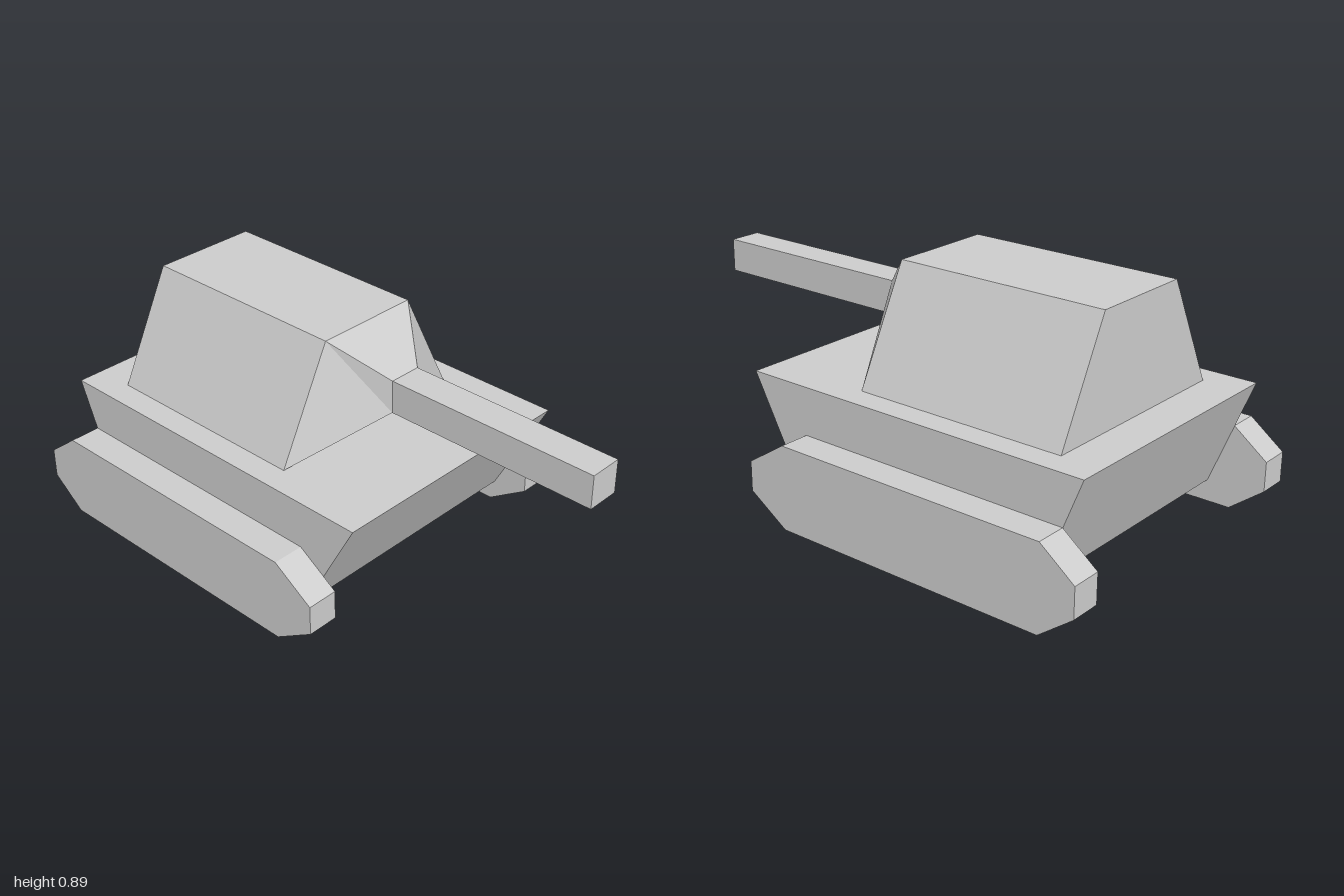
import * as THREE from 'three';

const material = new THREE.MeshStandardMaterial({ color: 0xcccccc, flatShading: true });

function addPart(parent, name, geometry) {
  const mesh = new THREE.Mesh(geometry, material);
  mesh.name = name;
  parent.add(mesh);
  return mesh;
}

// Side profile of [z, y] points, extruded to a width centred on x = 0
function sideExtrude(profile, width) {
  const shape = new THREE.Shape(profile.map(([z, y]) => new THREE.Vector2(z, y)));
  return new THREE.ExtrudeGeometry(shape, { depth: width, bevelEnabled: false })
    .translate(0, 0, -width / 2)
    .rotateY(-Math.PI / 2);
}

// Four-cornered section, counter-clockwise as seen from the front
function section(z, bottomHalf, topHalf, y0, y1) {
  return [[-bottomHalf, y0, z], [bottomHalf, y0, z], [topHalf, y1, z], [-topHalf, y1, z]];
}

// Closed solid through sections ordered from back to front
function loft(sections) {
  const pos = [];
  const quad = (a, b, c, d) => pos.push(...a, ...b, ...c, ...a, ...c, ...d);
  for (let s = 0; s < sections.length - 1; s++) {
    const back = sections[s], front = sections[s + 1];
    for (let i = 0; i < 4; i++) {
      const j = (i + 1) % 4;
      quad(back[i], back[j], front[j], front[i]);
    }
  }
  const [p, q, r, t] = sections[0];
  quad(t, r, q, p);
  quad(...sections[sections.length - 1]);
  const geometry = new THREE.BufferGeometry();
  geometry.setAttribute('position', new THREE.Float32BufferAttribute(pos, 3));
  geometry.computeVertexNormals();
  return geometry;
}

export function createModel() {
  const tank = new THREE.Group();
  tank.name = 'tank';

  // Hull with sloped bow and stern
  addPart(tank, 'hull', sideExtrude(
    [[0.205, 0.08], [0.425, 0.485], [-0.94, 0.485], [-0.78, 0.08]], 1.0));

  // Tracks with chamfered ends
  const trackProfile = [
    [0.19, 0], [0.345, 0.1], [0.345, 0.21], [0.19, 0.31],
    [-0.87, 0.31], [-1, 0.21], [-1, 0.1], [-0.87, 0],
  ];
  for (const [name, side] of [['leftTrack', 1], ['rightTrack', -1]]) {
    addPart(tank, name, sideExtrude(trackProfile, 0.115)).position.x = side * 0.5575;
  }

  // Turret body tapering into the gun mantlet
  const turret = new THREE.Group();
  turret.name = 'turret';
  tank.add(turret);
  addPart(turret, 'turretBody', loft([
    section(-0.79, 0.405, 0.2, 0.485, 0.89),
    section(0.02, 0.405, 0.2, 0.485, 0.89),
    section(0.19, 0.0615, 0.0615, 0.627, 0.749),
  ]));

  // Square gun barrel
  addPart(turret, 'barrel', new THREE.BoxGeometry(0.123, 0.122, 0.81))
    .position.set(0, 0.688, 0.595);

  return tank;
}
